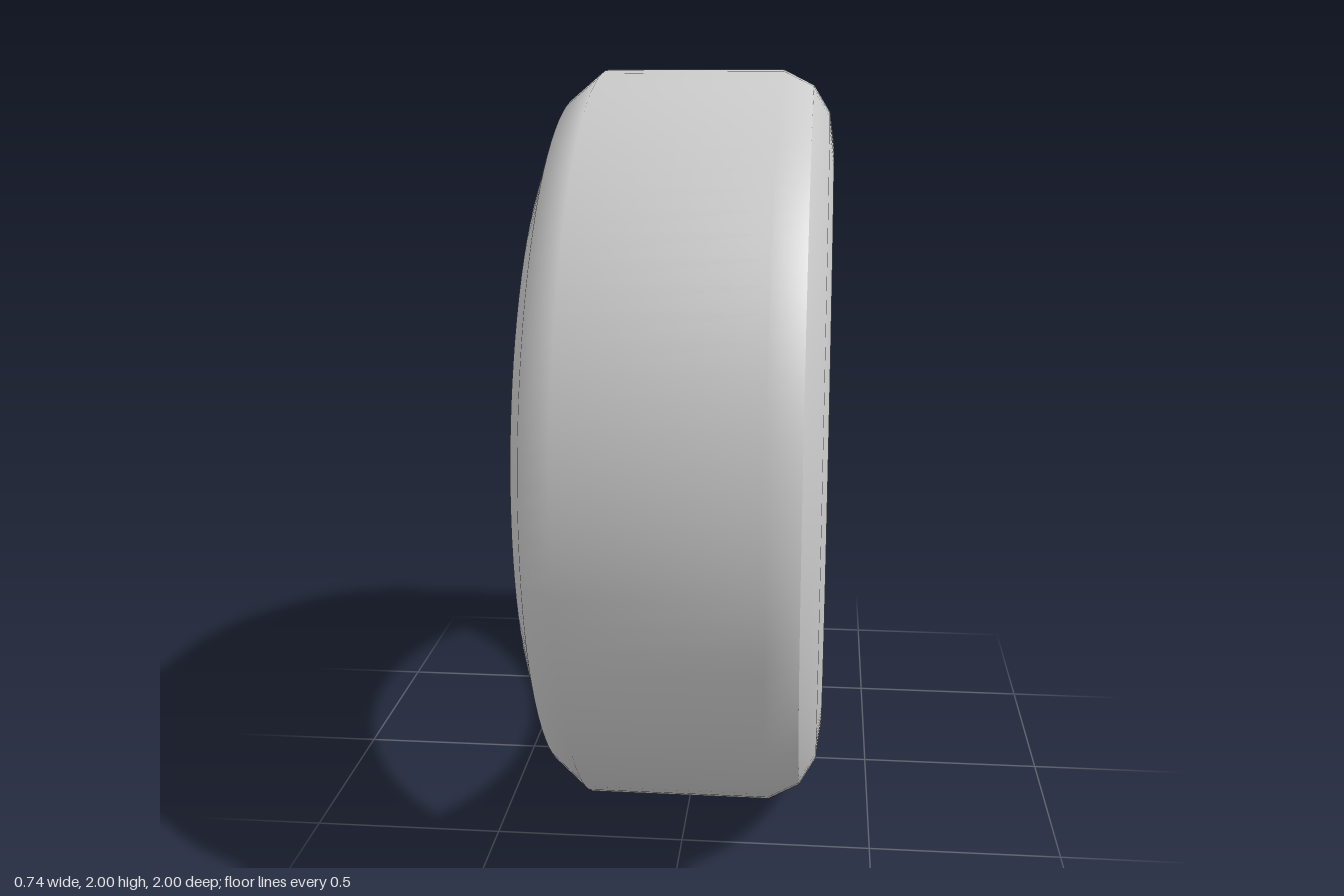
import * as THREE from 'three';

const SEGMENTS = 96;

export function createModel() {
  const group = new THREE.Group();
  group.name = 'tire';
  const material = new THREE.MeshStandardMaterial({ color: 0xcccccc, side: THREE.DoubleSide });

  // Revolve [x, radius] points around the x axis
  const addRing = (name, points) => {
    const profile = points.map(([x, r]) => new THREE.Vector2(r, x));
    const ring = new THREE.Mesh(new THREE.LatheGeometry(profile, SEGMENTS), material);
    ring.name = name;
    ring.rotation.z = -Math.PI / 2;
    ring.position.y = 1;
    group.add(ring);
  };

  // Right sidewall flowing smoothly over the shoulders and the flat tread
  addRing('treadAndRightSidewall', [
    [-0.37, 0.795], [-0.367, 0.81], [-0.325, 0.93], [-0.24, 1], [0.23, 1], [0.31, 0.96],
  ]);

  // Left sidewall, separated from the tread by a sharp crease
  addRing('leftSidewall', [[0.31, 0.96], [0.353, 0.89], [0.365, 0.805]]);

  // Narrow bead turned in at the left opening
  addRing('leftBead', [[0.365, 0.805], [0.354, 0.795]]);

  return group;
}
